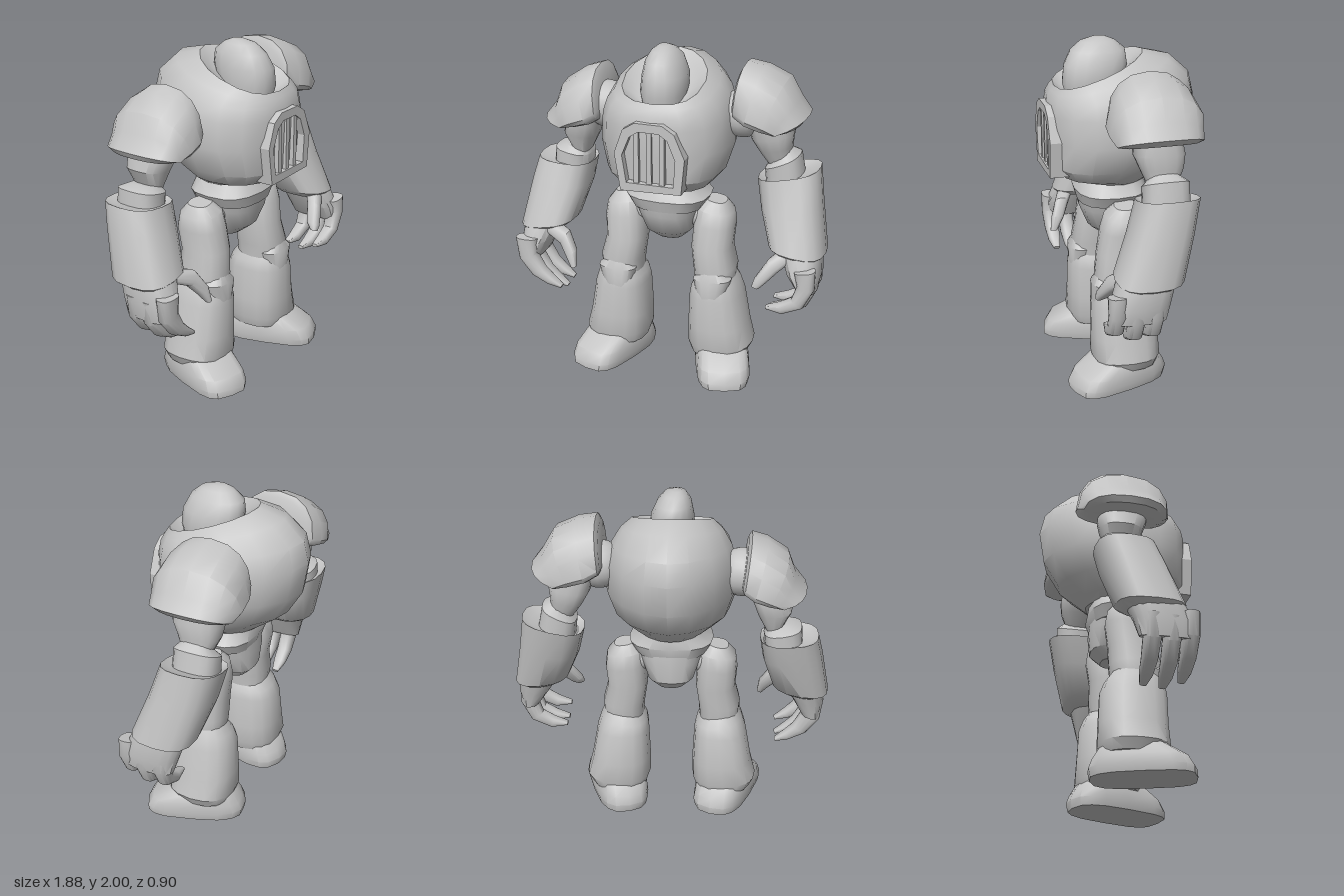
import * as THREE from 'three';
import { toCreasedNormals } from 'three/addons/utils/BufferGeometryUtils.js';

const SEG = 16;
const grey = new THREE.MeshStandardMaterial({ color: 0xc4c4c4 });
grey.name = 'plain grey';

const bend = (v, e) => Math.sign(v) * Math.pow(Math.abs(v), e);

// Lofts rounded cross-sections. Each row is [a, ay, b, by, mid, half]:
// two opposite edge points, then the centre and half width across them.
// axis 'z': edges are x,y and the width runs along z; axis 'x': edges are z,y.
// low: where between b (0) and a (1) the section is widest.
function loft(name, rows, { axis = 'z', e = 0.75, eBack = e, low = 0.5, crease = 0.65 } = {}) {
  const pos = [], index = [];
  const put = (u, y, w) => (axis === 'z' ? pos.push(u, y, w) : pos.push(w, y, u));
  for (const [a, ay, b, by, mid, half] of rows) {
    for (let i = 0; i < SEG; i++) {
      const t = (i / SEG) * Math.PI * 2, c = Math.cos(t), p = c < 0 ? eBack : e;
      const k = low + bend(c, p) * (c < 0 ? low : 1 - low);
      put(b + (a - b) * k, by + (ay - by) * k, mid + half * bend(Math.sin(t), p));
    }
  }
  const last = rows.length - 1;
  for (const r of [rows[0], rows[last]]) put((r[0] + r[2]) / 2, (r[1] + r[3]) / 2, r[4]);
  const c0 = rows.length * SEG;
  for (let i = 0; i < SEG; i++) {
    const j = (i + 1) % SEG;
    for (let r = 0; r < last; r++) {
      const p = r * SEG, q = p + SEG;
      index.push(p + i, p + j, q + j, p + i, q + j, q + i);
    }
    index.push(c0, j, i, c0 + 1, last * SEG + i, last * SEG + j);
  }
  // Turn the faces outward if the signed volume is negative
  const at = (i) => new THREE.Vector3().fromArray(pos, i * 3);
  const centre = at(c0).lerp(at(c0 + 1), 0.5);
  let volume = 0;
  for (let i = 0; i < index.length; i += 3) {
    const [p, q, r] = [0, 1, 2].map((k) => at(index[i + k]).sub(centre));
    volume += p.dot(q.cross(r));
  }
  if (volume < 0) index.reverse();
  const geo = new THREE.BufferGeometry();
  geo.setAttribute('position', new THREE.Float32BufferAttribute(pos, 3));
  geo.setIndex(index);
  return mesh(name, toCreasedNormals(geo, crease));
}

function mesh(name, geo, x = 0, y = 0, z = 0) {
  const m = new THREE.Mesh(geo, grey);
  m.name = name;
  m.position.set(x, y, z);
  return m;
}

const outline = (C, pts) => new C(pts.map(([x, y]) => new THREE.Vector2(x, y)));

function createTorso() {
  const g = new THREE.Group();
  g.name = 'torso';
  // Barrel body that rolls over into a shallow, tilted collar
  g.add(loft('body', [
    [0.16, 1.16, -0.16, 1.17, 0, 0.18], [0.36, 1.22, -0.21, 1.21, 0, 0.27],
    [0.42, 1.29, -0.33, 1.3, 0, 0.34], [0.425, 1.45, -0.42, 1.45, 0, 0.385],
    [0.43, 1.6, -0.45, 1.64, 0, 0.375], [0.42, 1.67, -0.42, 1.77, 0, 0.345],
    [0.4, 1.71, -0.3, 1.88, 0, 0.295], [0.38, 1.74, -0.14, 1.92, 0, 0.235],
    [0.34, 1.71, -0.09, 1.88, 0, 0.19], [0.3, 1.69, -0.03, 1.82, 0, 0.13],
  ], { axis: 'x', e: 0.78, eBack: 1.12, low: 0.53 }));
  g.add(loft('head', [
    [0.29, 1.6, 0, 1.64, 0, 0.11], [0.33, 1.75, -0.02, 1.77, 0, 0.13],
    [0.32, 1.85, -0.05, 1.85, 0, 0.125], [0.28, 1.93, -0.04, 1.93, -0.01, 0.1],
    [0.22, 1.98, 0.02, 1.98, -0.015, 0.065], [0.15, 2, 0.07, 2, -0.02, 0.03],
  ], { axis: 'x', e: 0.9, crease: 0.9 }));
  // Arched chest vent with upright bars
  const arch = outline(THREE.Shape, [[-0.165, 1.24], [0.19, 1.25], [0.21, 1.46], [0.15, 1.6],
    [0.08, 1.645], [-0.08, 1.645], [-0.15, 1.6], [-0.2, 1.46]]);
  arch.holes.push(outline(THREE.Path, [[-0.13, 1.29], [-0.155, 1.45], [-0.11, 1.56], [-0.06, 1.595],
    [0.06, 1.595], [0.11, 1.56], [0.155, 1.45], [0.145, 1.29]]));
  g.add(mesh('ventFrame', new THREE.ExtrudeGeometry(arch, { depth: 0.15, bevelEnabled: false }), 0, 0, 0.3));
  for (const x of [-0.075, 0, 0.075])
    g.add(mesh('ventBar', new THREE.BoxGeometry(0.03, 0.31, 0.06), x, 1.44, 0.41));
  // Waist, belt and hips
  g.add(loft('belt', [
    [-0.17, 1.24, 0.17, 1.24, 0.03, 0.16], [-0.19, 1.17, 0.19, 1.17, 0.05, 0.19],
    [-0.25, 1.11, 0.25, 1.11, 0.06, 0.21], [-0.21, 1.04, 0.21, 1.04, 0.06, 0.19],
  ]));
  g.add(loft('pelvis', [
    [-0.21, 1.1, 0.21, 1.1, 0.06, 0.19], [-0.18, 1, 0.18, 1, 0.05, 0.19],
    [-0.14, 0.88, 0.14, 0.88, 0.03, 0.16], [-0.08, 0.82, 0.08, 0.82, 0.02, 0.09],
  ]));
  return g;
}

function createLeg(s) {
  const g = new THREE.Group();
  g.name = s > 0 ? 'leftLeg' : 'rightLeg';
  const part = (name, rows) =>
    g.add(loft(name, rows.map(([a, ay, b, by, z, w]) => [a * s, ay, b * s, by, z, w]), { e: 0.8 }));
  g.add(mesh('hipJoint', new THREE.SphereGeometry(0.09, 14, 10), 0.19 * s, 0.98, 0.04));
  part('thigh', [
    [0.34, 1.07, 0.22, 1.09, 0.03, 0.07], [0.385, 1.01, 0.17, 1.04, 0.035, 0.12],
    [0.395, 0.93, 0.155, 0.95, 0.04, 0.14], [0.385, 0.8, 0.145, 0.8, 0.06, 0.14],
    [0.415, 0.68, 0.165, 0.66, 0.07, 0.15], [0.41, 0.6, 0.17, 0.58, 0.07, 0.14],
  ]);
  part('shinGuard', [
    [0.4, 0.64, 0.18, 0.6, 0.07, 0.14], [0.43, 0.58, 0.15, 0.55, 0.06, 0.17],
    [0.455, 0.5, 0.14, 0.5, 0.055, 0.19], [0.49, 0.3, 0.13, 0.3, 0.05, 0.195],
    [0.52, 0.18, 0.13, 0.18, 0.05, 0.2], [0.49, 0.12, 0.15, 0.12, 0.05, 0.18],
  ]);
  part('kneeCap', [
    [0.31, 0.72, 0.28, 0.72, 0.17, 0.02], [0.41, 0.63, 0.18, 0.62, 0.16, 0.08],
    [0.37, 0.5, 0.21, 0.5, 0.17, 0.07],
  ]);
  const foot = loft('foot', [
    [0.4, 0, -0.19, 0, 0, 0.155], [0.4, 0.04, -0.2, 0.05, 0, 0.165],
    [0.365, 0.1, -0.18, 0.1, 0, 0.16], [0.25, 0.17, -0.14, 0.16, 0, 0.15],
    [0.18, 0.21, -0.1, 0.2, 0, 0.11],
  ], { axis: 'x', e: 0.55, eBack: 0.7 });
  foot.position.x = 0.31 * s;
  foot.rotation.y = 0.33 * s;
  g.add(foot);
  return g;
}

// Front outlines of each arm; the two are posed differently
const ARMS = {
  leftArm: {
    shoulderPad: [[0.4, 1.86, 0.38, 1.63, -0.06, 0.2], [0.42, 1.9, 0.39, 1.6, -0.06, 0.23],
      [0.53, 1.88, 0.46, 1.56, -0.06, 0.26], [0.66, 1.82, 0.55, 1.54, -0.06, 0.265],
      [0.73, 1.7, 0.59, 1.54, -0.06, 0.25], [0.79, 1.62, 0.61, 1.54, -0.06, 0.24],
      [0.76, 1.58, 0.62, 1.54, -0.06, 0.2]],
    upperArm: [[0.66, 1.64, 0.42, 1.6, -0.06, 0.13], [0.7, 1.5, 0.46, 1.46, -0.07, 0.14],
      [0.69, 1.42, 0.5, 1.39, -0.08, 0.12], [0.69, 1.34, 0.57, 1.29, -0.08, 0.08]],
    elbow: [[0.69, 1.4, 0.58, 1.34, -0.08, 0.08], [0.74, 1.37, 0.54, 1.28, -0.09, 0.13],
      [0.77, 1.22, 0.55, 1.18, -0.09, 0.13]],
    forearm: [[0.81, 1.27, 0.54, 1.19, -0.09, 0.13], [0.86, 1.3, 0.5, 1.22, -0.09, 0.17],
      [0.89, 1.1, 0.54, 1.05, -0.04, 0.18], [0.94, 0.83, 0.61, 0.87, 0.04, 0.19],
      [0.9, 0.8, 0.66, 0.83, 0.05, 0.15]],
    palm: [[0.92, 0.84, 0.68, 0.86, 0.06, 0.16], [0.93, 0.72, 0.73, 0.75, 0.1, 0.165],
      [0.91, 0.63, 0.8, 0.65, 0.11, 0.15]],
    finger: [[0.92, 0.76, 0.8, 0.74, 0, 0.048], [0.92, 0.64, 0.82, 0.66, 0, 0.048],
      [0.86, 0.52, 0.79, 0.57, 0, 0.044], [0.74, 0.465, 0.72, 0.53, 0, 0.038], [0.64, 0.48, 0.64, 0.5, 0, 0.02]],
    thumb: [[0.78, 0.82, 0.7, 0.87, 0.16, 0.05], [0.7, 0.75, 0.64, 0.82, 0.21, 0.045],
      [0.63, 0.68, 0.57, 0.71, 0.25, 0.04], [0.6, 0.655, 0.56, 0.67, 0.27, 0.02]],
  },
  rightArm: {
    shoulderPad: [[-0.44, 1.78, -0.41, 1.52, -0.06, 0.2], [-0.46, 1.81, -0.42, 1.5, -0.06, 0.23],
      [-0.55, 1.78, -0.47, 1.47, -0.06, 0.26], [-0.67, 1.7, -0.55, 1.45, -0.06, 0.265],
      [-0.71, 1.59, -0.59, 1.45, -0.06, 0.25], [-0.78, 1.5, -0.61, 1.45, -0.06, 0.24],
      [-0.76, 1.465, -0.62, 1.45, -0.06, 0.2]],
    upperArm: [[-0.66, 1.55, -0.45, 1.55, -0.06, 0.13], [-0.68, 1.45, -0.47, 1.43, -0.07, 0.14],
      [-0.7, 1.37, -0.5, 1.35, -0.08, 0.12], [-0.64, 1.25, -0.55, 1.25, -0.08, 0.08]],
    elbow: [[-0.7, 1.29, -0.56, 1.27, -0.08, 0.08], [-0.76, 1.27, -0.54, 1.23, -0.09, 0.13],
      [-0.77, 1.15, -0.55, 1.13, -0.09, 0.13]],
    forearm: [[-0.82, 1.19, -0.54, 1.17, -0.08, 0.13], [-0.86, 1.21, -0.52, 1.19, -0.08, 0.17],
      [-0.89, 1.08, -0.54, 1.05, -0.04, 0.18], [-0.94, 0.8, -0.6, 0.85, 0.04, 0.19],
      [-0.9, 0.77, -0.65, 0.81, 0.05, 0.15]],
    palm: [[-0.91, 0.82, -0.67, 0.84, 0.06, 0.16], [-0.92, 0.7, -0.72, 0.74, 0.1, 0.165],
      [-0.9, 0.6, -0.78, 0.63, 0.11, 0.15]],
    finger: [[-0.92, 0.72, -0.78, 0.72, 0, 0.048], [-0.9, 0.58, -0.79, 0.62, 0, 0.048],
      [-0.82, 0.48, -0.74, 0.53, 0, 0.044], [-0.72, 0.43, -0.69, 0.48, 0, 0.038], [-0.64, 0.41, -0.63, 0.43, 0, 0.02]],
    thumb: [[-0.76, 0.79, -0.69, 0.85, 0.16, 0.05], [-0.64, 0.74, -0.59, 0.82, 0.21, 0.045],
      [-0.59, 0.68, -0.53, 0.72, 0.25, 0.04], [-0.55, 0.62, -0.52, 0.63, 0.28, 0.02]],
  },
};

function createArm(side) {
  const g = new THREE.Group(), s = side === 'leftArm' ? 1 : -1;
  g.name = side;
  g.add(mesh('shoulderJoint', new THREE.SphereGeometry(0.14, 16, 12), 0.41 * s, s > 0 ? 1.6 : 1.57, -0.03));
  for (const [name, rows] of Object.entries(ARMS[side])) {
    if (name !== 'finger') {
      g.add(loft(name, rows, name === 'shoulderPad' ? { e: 0.85, low: 0.2 } : {}));
      continue;
    }
    // Three fingers side by side, the middle one longest
    [0.03, 0.135, 0.24].forEach((z, i) => {
      const f = loft(name, rows);
      f.position.set(0, i === 1 ? 0 : 0.015 * i + 0.01, z);
      g.add(f);
    });
  }
  return g;
}

export function createModel() {
  const model = new THREE.Group();
  model.name = 'armouredRobot';
  model.add(createTorso(), createLeg(1), createLeg(-1), createArm('leftArm'), createArm('rightArm'));
  return model;
}
